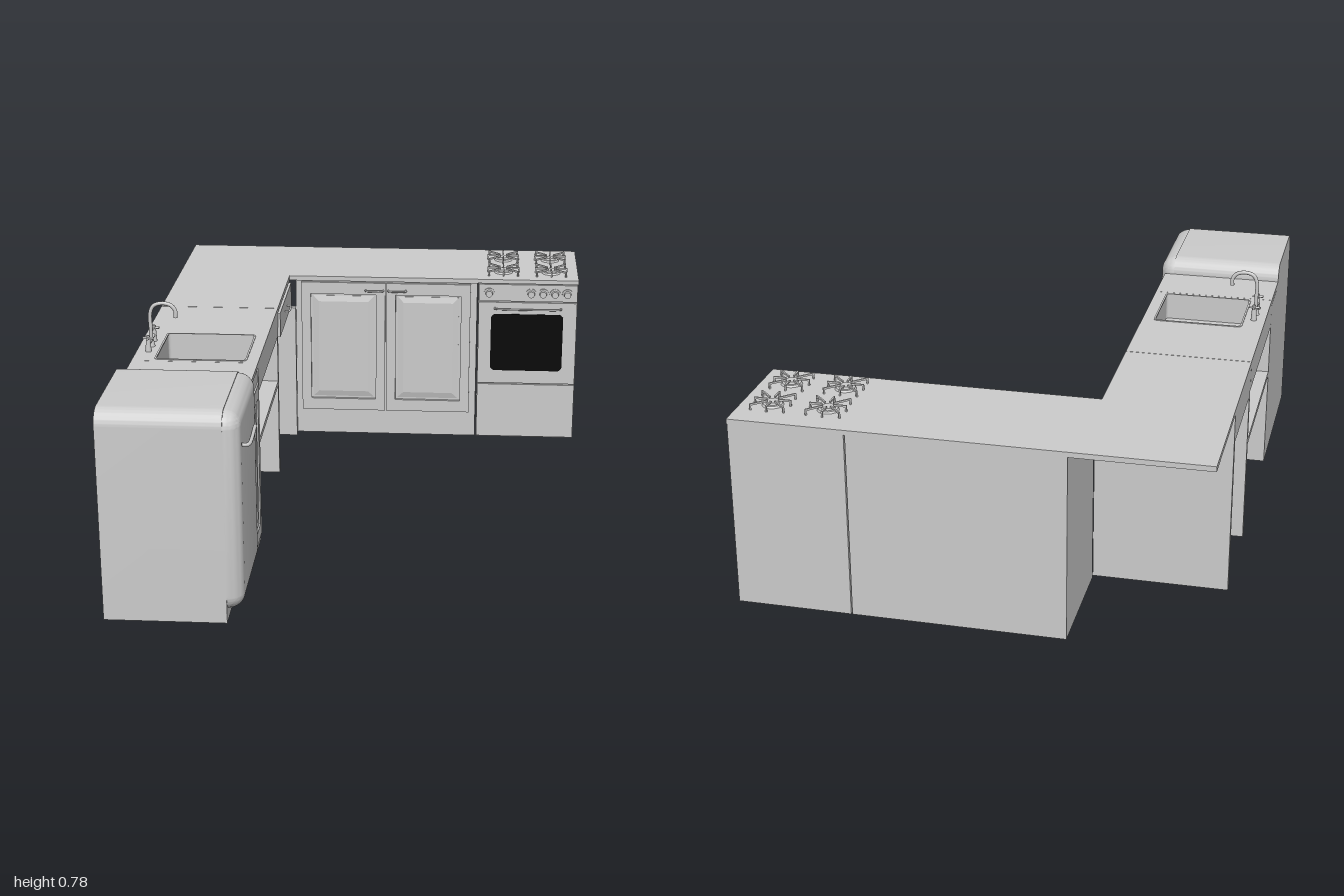
import * as THREE from 'three';
import { toCreasedNormals } from 'three/addons/utils/BufferGeometryUtils.js';

const grey = new THREE.MeshStandardMaterial({ color: 0xcccccc });
const black = new THREE.MeshStandardMaterial({ color: 0x050505 });

function add(parent, name, geometry, material = grey) {
  const mesh = new THREE.Mesh(geometry, material);
  mesh.name = name;
  parent.add(mesh);
  return mesh;
}

// Box given by its limits on each axis
function box(parent, name, [x0, x1], [y0, y1], [z0, z1], material) {
  const g = new THREE.BoxGeometry(x1 - x0, y1 - y0, z1 - z0);
  g.translate((x0 + x1) / 2, (y0 + y1) / 2, (z0 + z1) / 2);
  return add(parent, name, g, material);
}

function group(parent, name, x = 0, y = 0, z = 0, turn = 0) {
  const g = new THREE.Group();
  g.name = name;
  g.position.set(x, y, z);
  g.rotation.y = turn;
  parent.add(g);
  return g;
}

// Rectangle centred on the origin; rt and rb are top and bottom corner radii
function rect(w, h, rt = 0, rb = rt, Type = THREE.Shape) {
  const s = new Type(), a = w / 2, b = h / 2, q = Math.PI / 2;
  s.moveTo(-a + rb, -b);
  s.lineTo(a - rb, -b);
  if (rb) s.absarc(a - rb, -b + rb, rb, -q, 0);
  s.lineTo(a, b - rt);
  if (rt) s.absarc(a - rt, b - rt, rt, 0, q);
  s.lineTo(-a + rt, b);
  if (rt) s.absarc(-a + rt, b - rt, rt, q, 2 * q);
  s.lineTo(-a, -b + rb);
  if (rb) s.absarc(-a + rb, -b + rb, rb, 2 * q, 3 * q);
  return s;
}

function frameGeometry(w, h, holeW, holeH, depth, dx = 0, dy = 0, r = 0) {
  const s = rect(w, h);
  const hole = rect(holeW, holeH, r);
  s.holes.push(new THREE.Path(hole.getPoints(6).map(p => p.add(new THREE.Vector2(dx, dy)))));
  return new THREE.ExtrudeGeometry(s, { depth, bevelEnabled: false });
}

function tube(parent, name, points, radius, segments = 24) {
  const curve = new THREE.CatmullRomCurve3(points.map(p => new THREE.Vector3(...p)), false, 'centripetal');
  return add(parent, name, new THREE.TubeGeometry(curve, segments, radius, 10));
}

function cylinder(parent, name, r0, r1, h, x, y, z, axis = 'y') {
  const g = new THREE.CylinderGeometry(r0, r1, h, 24);
  if (axis === 'z') g.rotateX(Math.PI / 2);
  const m = add(parent, name, g);
  m.position.set(x, y, z);
  return m;
}

// Framed door with a raised bevelled panel, facing local +z
function panelDoor(parent, name, w, h, x, y, z, turn = 0) {
  const d = group(parent, name, x, y, z, turn);
  add(d, 'doorFrame', frameGeometry(w, h, w - 0.07, h - 0.09, 0.012));
  const p = new THREE.ExtrudeGeometry(rect(w - 0.13, h - 0.15), {
    depth: 0.003, bevelSize: 0.022, bevelThickness: 0.006, bevelSegments: 1 });
  add(d, 'raisedPanel', p);
  return d;
}

// Bar handle on two short posts, facing local +z
function barHandle(parent, w, x, y, z, turn = 0) {
  const h = group(parent, 'handle', x, y, z, turn), a = w / 2;
  tube(h, 'handleBar', [[-a, 0, 0], [-a, 0, 0.011], [-a + 0.006, 0, 0.015], [a - 0.006, 0, 0.015], [a, 0, 0.011], [a, 0, 0]], 0.0035);
}

function buildFridge(root) {
  const f = group(root, 'fridge'), zc = 0.7925, quarter = Math.PI / 2;
  const body = new THREE.ExtrudeGeometry(rect(0.415, 0.68, 0.05, 0), { depth: 0.38, bevelEnabled: false, curveSegments: 10 });
  body.rotateY(quarter).translate(-0.745, 0.34, zc);
  add(f, 'fridgeBody', toCreasedNormals(body, 0.6));
  // Soft rounded door, its rear bevel sunk into the body
  const door = new THREE.ExtrudeGeometry(rect(0.32, 0.55, 0.008), {
    depth: 0.01, bevelSize: 0.0475, bevelThickness: 0.05, bevelSegments: 10, curveSegments: 8 });
  door.rotateY(quarter).translate(-0.375, 0.355, zc);
  add(f, 'fridgeDoor', toCreasedNormals(door, 0.8));
  tube(f, 'fridgeHandle', [[-0.32, 0.56, 0.935], [-0.3, 0.56, 0.935], [-0.295, 0.56, 0.928], [-0.295, 0.56, 0.78]], 0.006);
}

function buildSideRun(root) {
  const depth = [-0.745, -0.335], turn = Math.PI / 2;
  // Narrow cupboard beside the fridge
  const c = group(root, 'narrowCupboard');
  box(c, 'cupboardBody', depth, [0, 0.608], [0.39, 0.585]);
  box(c, 'cupboardTop', [-0.745, -0.332], [0.61, 0.625], [0.39, 0.585]);
  panelDoor(c, 'cupboardDoor', 0.19, 0.53, -0.342, 0.295, 0.4875, turn);

  // Sink block with an open basin
  const s = group(root, 'sinkUnit');
  const block = frameGeometry(0.413, 0.583, 0.295, 0.262, 0.1, 0.016, -0.1425, 0.012);
  block.rotateX(-turn).translate(-0.5385, 0.525, 0.0975);
  add(s, 'sinkBlock', block);
  box(s, 'basinFloor', [-0.68, -0.365], [0.526, 0.535], [0.1, 0.38]);
  const rim = new THREE.ExtrudeGeometry(rect(0.305, 0.272, 0.016), { depth: 0.003, bevelEnabled: false });
  rim.dispose();
  const rimShape = rect(0.303, 0.27, 0.016);
  rimShape.holes.push(rect(0.291, 0.258, 0.012, 0.012, THREE.Path));
  const rimGeo = new THREE.ExtrudeGeometry(rimShape, { depth: 0.005, bevelEnabled: false });
  rimGeo.rotateX(-turn).translate(-0.5225, 0.622, 0.24);
  add(s, 'basinRim', rimGeo);
  cylinder(s, 'drain', 0.018, 0.018, 0.004, -0.5225, 0.536, 0.24);
  box(s, 'shelf', depth, [0.335, 0.353], [-0.195, 0.39]);

  // Drawer unit on two side panels
  const d = group(root, 'drawerUnit');
  box(d, 'drawerBox', depth, [0.51, 0.608], [-0.59, -0.197]);
  box(d, 'drawerFront', [-0.336, -0.325], [0.515, 0.603], [-0.582, -0.205]);
  barHandle(d, 0.065, -0.326, 0.56, -0.4, turn);
  box(d, 'sidePanel', depth, [0, 0.51], [-0.217, -0.195]);
  box(d, 'cornerPanel', [-0.745, -0.308], [0, 0.51], [-0.59, -0.567]);
  box(d, 'drawerTop', [-0.745, -0.332], [0.608, 0.625], [-0.6, -0.196]);
}

function buildFaucet(root) {
  const f = group(root, 'faucet', -0.705, 0.625, 0.24);
  tube(f, 'spout', [[0, 0, 0], [0, 0.06, 0], [0, 0.115, 0], [0.012, 0.14, 0], [0.04, 0.149, 0], [0.07, 0.142, 0], [0.084, 0.123, 0], [0.084, 0.1, 0]], 0.0065, 40);
  cylinder(f, 'spoutBase', 0.009, 0.013, 0.02, 0, 0.01, 0);
  const bar = cylinder(f, 'crossPipe', 0.005, 0.005, 0.11, 0, 0.022, 0, 'z');
  bar.name = 'crossPipe';
  for (const side of [-1, 1]) {
    const t = group(f, 'tap', 0, 0, side * 0.055);
    cylinder(t, 'tapStem', 0.007, 0.01, 0.045, 0, 0.0225, 0);
    for (const a of [0, Math.PI / 2]) {
      const arm = cylinder(t, 'tapArm', 0.004, 0.004, 0.036, 0, 0.046, 0, 'z');
      arm.rotation.y = a;
    }
    cylinder(t, 'tapCap', 0.005, 0.006, 0.01, 0, 0.05, 0);
  }
}

function buildBackRun(root) {
  const c = group(root, 'doubleCupboard');
  box(c, 'cupboardBody', [-0.31, 0.368], [0, 0.608], [-1, -0.607]);
  box(c, 'counterTop', [-0.745, 0.37], [0.608, 0.625], [-1, -0.598]);
  for (const side of [-1, 1]) {
    panelDoor(c, 'cupboardDoor', 0.314, 0.505, 0.0275 + side * 0.159, 0.35, -0.608);
    barHandle(c, 0.065, 0.0275 + side * 0.042, 0.575, -0.597);
  }
}

function buildStove(root) {
  const s = group(root, 'stove');
  box(s, 'stoveBody', [0.372, 0.74], [0, 0.61], [-1, -0.605]);
  box(s, 'hob', [0.37, 0.742], [0.61, 0.625], [-1, -0.597]);
  box(s, 'controlPanel', [0.374, 0.739], [0.542, 0.606], [-0.61, -0.598]);
  box(s, 'ovenDoor', [0.374, 0.739], [0.219, 0.537], [-0.61, -0.598]);
  box(s, 'bottomDrawer', [0.374, 0.739], [0.004, 0.214], [-0.61, -0.598]);
  const glass = new THREE.ExtrudeGeometry(rect(0.268, 0.222, 0.018), { depth: 0.003, bevelEnabled: false });
  add(s, 'ovenWindow', glass.translate(0.555, 0.381, -0.599), black);
  barHandle(s, 0.245, 0.557, 0.515, -0.599);
  for (const x of [0.412, 0.568, 0.612, 0.656, 0.702]) {
    cylinder(s, 'knobSkirt', 0.02, 0.02, 0.005, x, 0.572, -0.596, 'z');
    cylinder(s, 'knob', 0.012, 0.014, 0.014, x, 0.572, -0.589, 'z');
    box(s, 'knobGrip', [x - 0.003, x + 0.003], [0.56, 0.584], [-0.59, -0.58]);
  }
  // Four burners, each with radial grate arms
  for (const x of [0.464, 0.642]) for (const z of [-0.697, -0.865]) {
    const b = group(s, 'burner', x, 0.625, z);
    cylinder(b, 'burnerBase', 0.03, 0.034, 0.006, 0, 0.003, 0);
    cylinder(b, 'burnerCap', 0.02, 0.022, 0.008, 0, 0.009, 0);
    for (let i = 0; i < 8; i++) {
      const a = group(b, 'grateArm', 0, 0, 0, i * Math.PI / 4);
      const end = i % 2 ? 0.078 : 0.06;
      box(a, 'grateBar', [0.018, end], [0.014, 0.02], [-0.0025, 0.0025]);
      box(a, 'grateFoot', [end - 0.005, end], [0, 0.015], [-0.0025, 0.0025]);
    }
  }
}

export function createModel() {
  const root = new THREE.Group();
  root.name = 'kitchen';
  buildFridge(root);
  buildSideRun(root);
  buildFaucet(root);
  buildBackRun(root);
  buildStove(root);
  return root;
}
